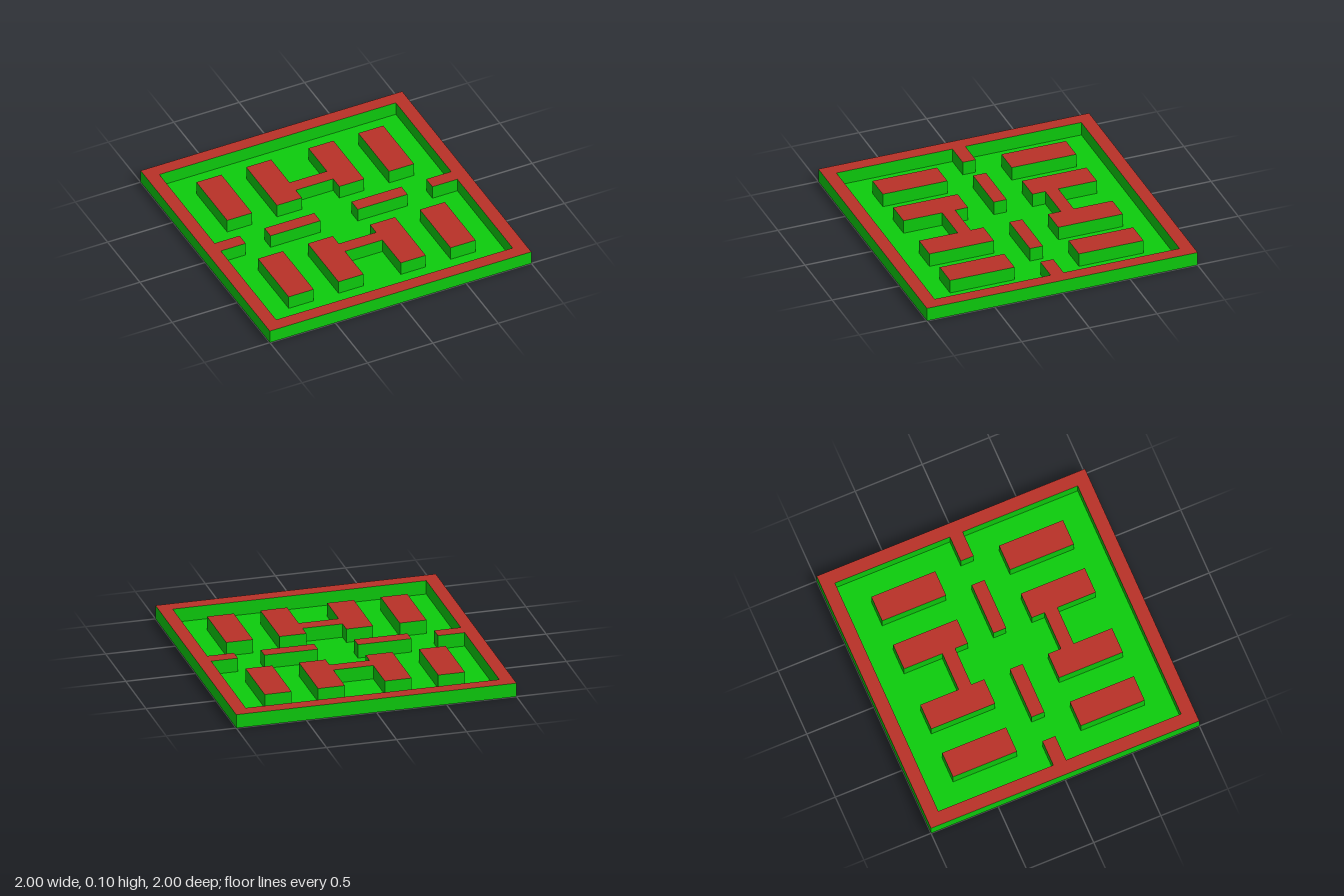
import * as THREE from 'three';

const U = 2 / 21; // maze cell
const H = 0.1;    // wall height

const red = new THREE.MeshStandardMaterial({ color: 0xb93128, side: THREE.DoubleSide, flatShading: true });
const green = new THREE.MeshStandardMaterial({ color: 0x0dcc0d, side: THREE.DoubleSide, flatShading: true });

// Outlines are counter-clockwise lists of [x, depth] in cells
const toPoints = (outline) => outline.map(([x, y]) => new THREE.Vector2(x * U, y * U));
const rect = (x0, y0, x1, y1) => [[x0, y0], [x1, y0], [x1, y1], [x0, y1]];

// Horizontal sheet with holes at a given height
function sheet(name, outline, holes, height, material) {
  const shape = new THREE.Shape(toPoints(outline));
  shape.holes = holes.map((h) => new THREE.Path(toPoints(h)));
  const geometry = new THREE.ShapeGeometry(shape).rotateX(-Math.PI / 2).translate(0, height, 0);
  const mesh = new THREE.Mesh(geometry, material);
  mesh.name = name;
  return mesh;
}

// Vertical band along a closed outline
function walls(name, outline) {
  const points = toPoints(outline);
  const positions = [];
  points.forEach((a, i) => {
    const b = points[(i + 1) % points.length];
    positions.push(a.x, 0, -a.y, b.x, 0, -b.y, b.x, H, -b.y);
    positions.push(a.x, 0, -a.y, b.x, H, -b.y, a.x, H, -a.y);
  });
  const geometry = new THREE.BufferGeometry();
  geometry.setAttribute('position', new THREE.Float32BufferAttribute(positions, 3));
  geometry.computeVertexNormals();
  const mesh = new THREE.Mesh(geometry, green);
  mesh.name = name;
  return mesh;
}

export function createModel() {
  const model = new THREE.Group();
  model.name = 'mazeTile';

  // Square border whose inner edge has a stub on either side
  const outer = rect(-10.5, -10.5, 10.5, 10.5);
  const inner = [
    [-9.5, -9.5], [9.5, -9.5], [9.5, -0.5], [7.5, -0.5], [7.5, 0.5], [9.5, 0.5],
    [9.5, 9.5], [-9.5, 9.5], [-9.5, 0.5], [-7.5, 0.5], [-7.5, -0.5], [-9.5, -0.5],
  ];

  // Free-standing blocks, hollow underneath
  const islands = [];
  for (const side of [-1, 1]) {
    const cx = side * 6.5;
    const mx = side * 3.5;
    islands.push(['middleBar', rect(mx - 2, -0.5, mx + 2, 0.5)]);
    for (const row of [-1, 1]) {
      const cy = row * 5;
      islands.push(['sideBlock', rect(cx - 1, cy - 2.5, cx + 1, cy + 2.5)]);
    }
  }
  // H-shaped blocks, crossbar nearer the middle of the tile
  for (const row of [-1, 1]) {
    const [y0, y1] = row > 0 ? [2.5, 7.5] : [-7.5, -2.5];
    const [c0, c1] = row > 0 ? [3.5, 4.5] : [-4.5, -3.5];
    islands.push(['hBlock', [
      [-3.5, y0], [-1.5, y0], [-1.5, c0], [1.5, c0], [1.5, y0], [3.5, y0],
      [3.5, y1], [1.5, y1], [1.5, c1], [-1.5, c1], [-1.5, y1], [-3.5, y1],
    ]]);
  }

  const border = new THREE.Group();
  border.name = 'border';
  border.add(
    sheet('borderTop', outer, [inner], H, red),
    walls('borderOuterWall', outer),
    walls('borderInnerWall', [...inner].reverse()),
  );
  model.add(border);

  // Floor, open beneath each block
  model.add(sheet('floor', inner, islands.map(([, outline]) => outline), 0, green));

  for (const [name, outline] of islands) {
    const block = new THREE.Group();
    block.name = name;
    block.add(sheet(name + 'Top', outline, [], H, red), walls(name + 'Walls', outline));
    model.add(block);
  }
  return model;
}
